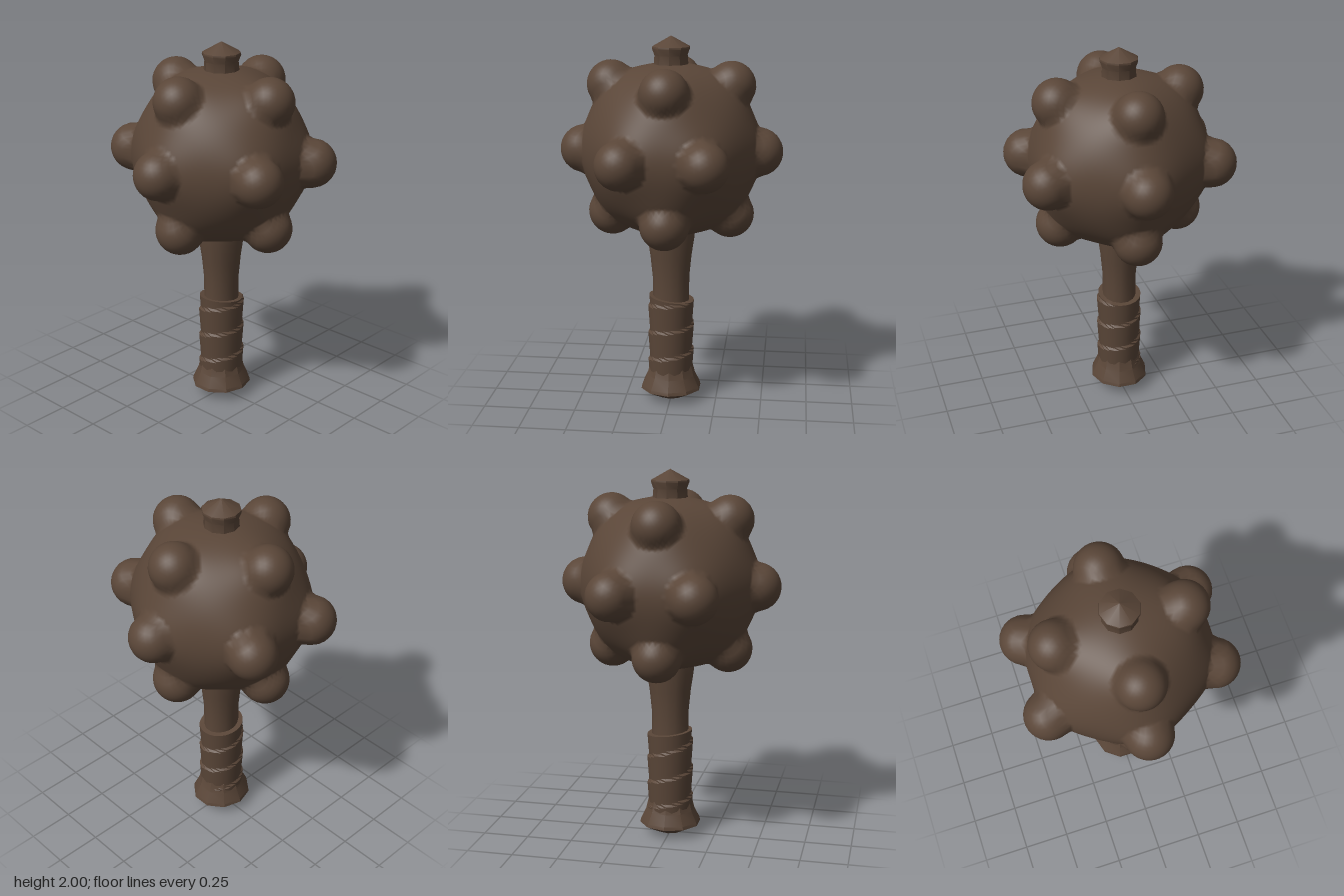
import * as THREE from 'three';
import { mergeVertices, toCreasedNormals } from 'three/addons/utils/BufferGeometryUtils.js';

const wood = new THREE.MeshStandardMaterial({ color: 0x5a4638 });
wood.name = 'dark brown wood';

const HEAD_Y = 1.405, KNOB_R = 0.128;

// Knob centres relative to the head: six round the equator, four above, four below
const knobs = [];
for (const s of [-1, 1]) {
  knobs.push(new THREE.Vector3(s * 0.462, -0.005, 0));
  for (const t of [-1, 1]) {
    knobs.push(new THREE.Vector3(s * 0.21, -0.005, t * 0.437));
    knobs.push(new THREE.Vector3(s * 0.315, t * 0.34, 0));
    knobs.push(new THREE.Vector3(0, t * 0.335, s * 0.325));
  }
}

const smoothMax = (a, b, k) => {
  const h = Math.max(k - Math.abs(a - b), 0) / k;
  return Math.max(a, b) + h * h * k * 0.25;
};

// Distance from the head centre to its surface along direction d
function headRadius(d) {
  let swell = 0;
  for (const c of knobs) swell += Math.exp(-(1 - d.dot(c) / c.length()) * 16);
  let r = 0.455 + 0.035 * Math.min(swell, 1);
  for (const c of knobs) {
    const along = d.dot(c);
    const disc = KNOB_R ** 2 - (c.lengthSq() - along ** 2);
    if (along > 0 && disc > 0) r = smoothMax(r, along + Math.sqrt(disc), 0.025);
  }
  return r;
}

function headGeometry() {
  let geo = new THREE.IcosahedronGeometry(1, 28);
  geo.deleteAttribute('uv');
  geo.deleteAttribute('normal');
  geo = mergeVertices(geo, 1e-4);
  const p = geo.attributes.position, d = new THREE.Vector3();
  for (let i = 0; i < p.count; i++) {
    d.fromBufferAttribute(p, i).normalize();
    d.multiplyScalar(headRadius(d));
    p.setXYZ(i, d.x, d.y, d.z);
  }
  geo.computeVertexNormals();
  return geo;
}

const lathe = (pts, sides) =>
  new THREE.LatheGeometry(pts.map(([r, y]) => new THREE.Vector2(r, y)), sides);

// Grip: a sleeve with a spiral overlap and a slanted upper lip
function gripGeometry() {
  const rows = 48, pts = [];
  for (let i = 0; i <= rows; i++) pts.push([0.118, 0.14 + (0.445 * i) / rows]);
  pts.push([0.09, 0.585]);
  const geo = lathe(pts, 24), p = geo.attributes.position;
  for (let i = 0; i < p.count; i++) {
    const x = p.getX(i), y = p.getY(i), z = p.getZ(i);
    const turn = y / 0.15 + Math.atan2(z, x) / (2 * Math.PI);
    const wrap = 0.98 + 0.09 * (turn - Math.floor(turn));
    const lift = -0.13 * x * (y - 0.14) / 0.445;
    p.setXYZ(i, x * wrap, y + lift, z * wrap * 0.97);
  }
  return toCreasedNormals(geo, 0.8);
}

export function createModel() {
  const group = new THREE.Group();
  const add = (name, geo) => {
    const mesh = new THREE.Mesh(geo, wood);
    mesh.name = name;
    group.add(mesh);
    return mesh;
  };

  add('knobbedHead', headGeometry()).position.y = HEAD_Y;

  // Bare shaft, narrowing below the head
  const shaft = add('shaft', lathe(
    [[0.1, 0.12], [0.1, 0.6], [0.1, 0.7], [0.112, 0.82], [0.127, 0.92], [0.13, 1.0]], 14));
  shaft.scale.z = 0.9;

  add('gripWrap', gripGeometry());

  // Flared pommel with a shallow pointed base
  const pommel = add('pommel', toCreasedNormals(lathe(
    [[0, 0], [0.07, 0.012], [0.168, 0.062], [0.164, 0.08], [0.135, 0.14], [0.12, 0.2], [0.1, 0.21]], 10), 0.6));
  pommel.scale.z = 0.94;

  // Pointed cap on top of the head
  add('topCap', toCreasedNormals(lathe(
    [[0.095, 1.82], [0.088, 1.9], [0.101, 1.935], [0.099, 1.945], [0, 2]], 10), 0.6));

  return group;
}
